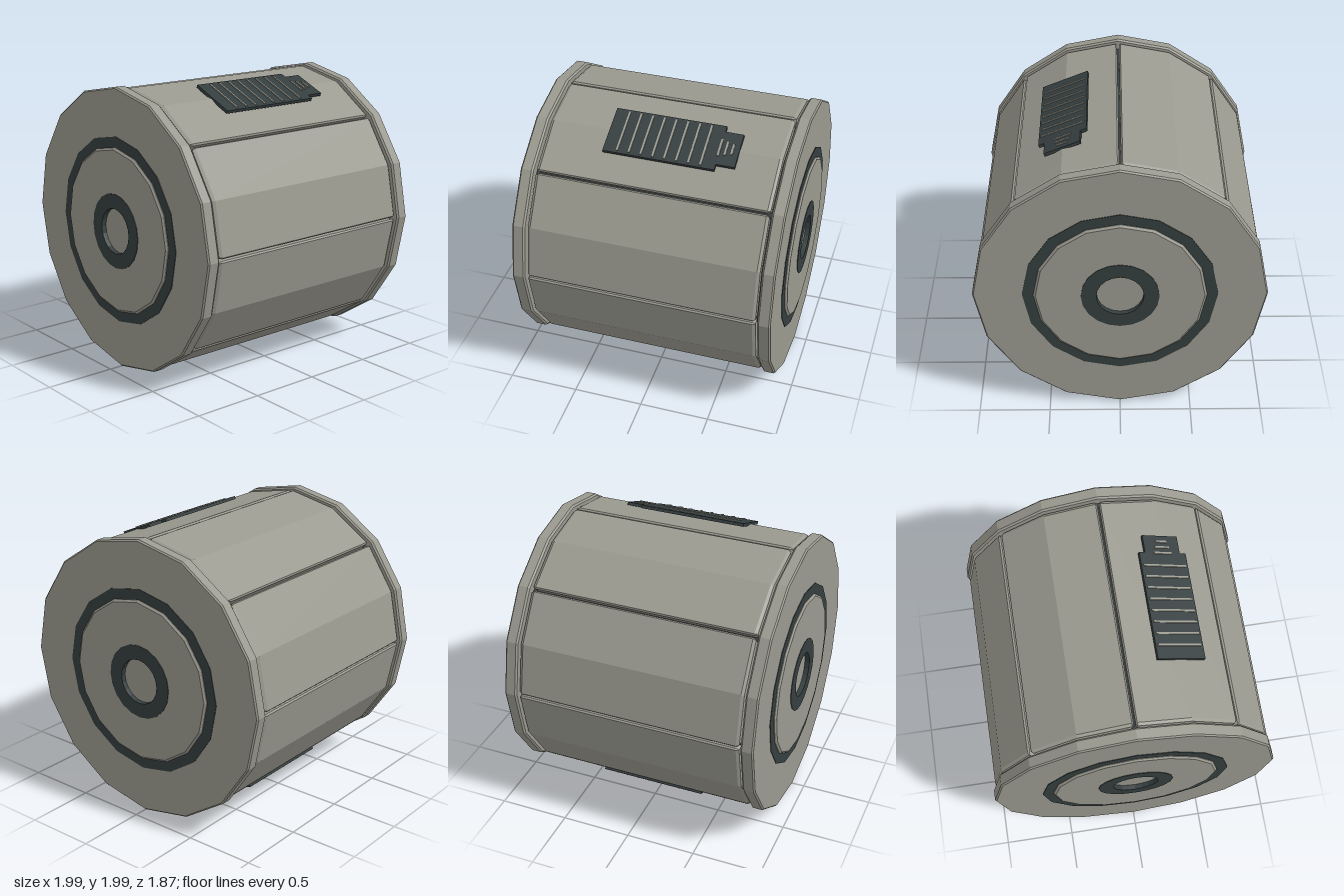
import * as THREE from 'three';

const grey = new THREE.MeshStandardMaterial({ color: 0x9b9a90, flatShading: true });
grey.name = 'warm grey';
const dark = new THREE.MeshStandardMaterial({ color: 0x353e3f, flatShading: true });
dark.name = 'dark slate';

const SIDES = 16;

function part(name, geometry, material, parent) {
  const mesh = new THREE.Mesh(geometry, material);
  mesh.name = name;
  parent.add(mesh);
  return mesh;
}

// Faceted ring or disc around the z axis; profile is [radius, z] pairs
function turned(profile, sides) {
  const points = profile.map(([r, z]) => new THREE.Vector2(r, z));
  return new THREE.LatheGeometry(points, sides).rotateX(Math.PI / 2);
}

// Two-facet shell panel spanning 45 degrees, with chamfered edges
function panelGeometry() {
  const R = 0.983, half = 0.805, bevel = 0.02;
  const at = (r, deg) => new THREE.Vector2(
    r * Math.cos(THREE.MathUtils.degToRad(deg)), r * Math.sin(THREE.MathUtils.degToRad(deg)));
  const shape = new THREE.Shape([
    at(0.87, 0.4), at(R - 0.012, 0.4), at(R - 0.002, 1.0), at(R, 22.5),
    at(R - 0.002, 44.0), at(R - 0.012, 44.6), at(0.87, 44.6),
  ]);
  const geometry = new THREE.ExtrudeGeometry(shape, {
    depth: 2 * (half - bevel), bevelEnabled: true, bevelSegments: 1,
    bevelThickness: bevel, bevelSize: 0.012, bevelOffset: -0.012,
  });
  return geometry.translate(0, 0, -(half - bevel));
}

// End cap with raised disc, inlaid ring and recessed hub
function endCap(name) {
  const cap = new THREE.Group();
  cap.name = name;
  part('flange', turned([[0.5, 0.82], [0.985, 0.82], [0.997, 0.832], [0.997, 0.9], [0.987, 0.91],
    [0.2, 0.91], [0.2, 0.9], [0, 0.9]], SIDES), grey, cap);
  part('inlayRing', turned([[0.66, 0.9], [0.66, 0.914], [0.56, 0.914]], SIDES), dark, cap);
  part('raisedDisc', turned([[0.585, 0.9], [0.585, 0.918], [0.57, 0.93], [0.2, 0.93]], SIDES), grey, cap);
  part('hubRing', turned([[0.265, 0.92], [0.265, 0.934], [0.16, 0.934], [0.16, 0.89]], 20), dark, cap);
  return cap;
}

// Ribbed plate lying on the crest of a panel, with a narrow tab at the back
function ventPlate(name) {
  const vent = new THREE.Group();
  vent.name = name;
  const box = (label, w, h, d, y, z, material) =>
    part(label, new THREE.BoxGeometry(w, h, d), material, vent).position.set(0, y, z);
  box('plate', 0.348, 0.022, 0.77, 0.982, -0.003, dark);
  box('tab', 0.26, 0.022, 0.13, 0.982, -0.45, dark);
  for (let i = 0; i < 8; i++) box('rib', 0.315, 0.014, 0.014, 0.993, -0.29 + i * 0.082, grey);
  for (let i = 0; i < 3; i++) box('tabRib', 0.08 + i * 0.025, 0.014, 0.014, 0.993, -0.47 + i * 0.043, grey);
  return vent;
}

export function createModel() {
  const model = new THREE.Group();
  model.name = 'drum';
  const body = new THREE.Group();
  body.name = 'body';
  body.position.y = 1;
  model.add(body);

  // Dark core seen through the seams and end gaps
  part('core', new THREE.CylinderGeometry(0.92, 0.92, 1.68, SIDES).rotateX(Math.PI / 2), dark, body);

  // Eight shell panels
  const panel = panelGeometry();
  for (let i = 0; i < 8; i++) part('shellPanel', panel, grey, body).rotation.z = i * Math.PI / 4;

  // End caps
  const back = endCap('backCap');
  back.rotation.y = Math.PI;
  body.add(endCap('frontCap'), back);

  // Opposed vent plates
  const upper = ventPlate('upperVent'), lower = ventPlate('lowerVent');
  upper.rotation.z = -Math.PI / 8;
  lower.rotation.z = Math.PI * 7 / 8;
  body.add(upper, lower);

  return model;
}
